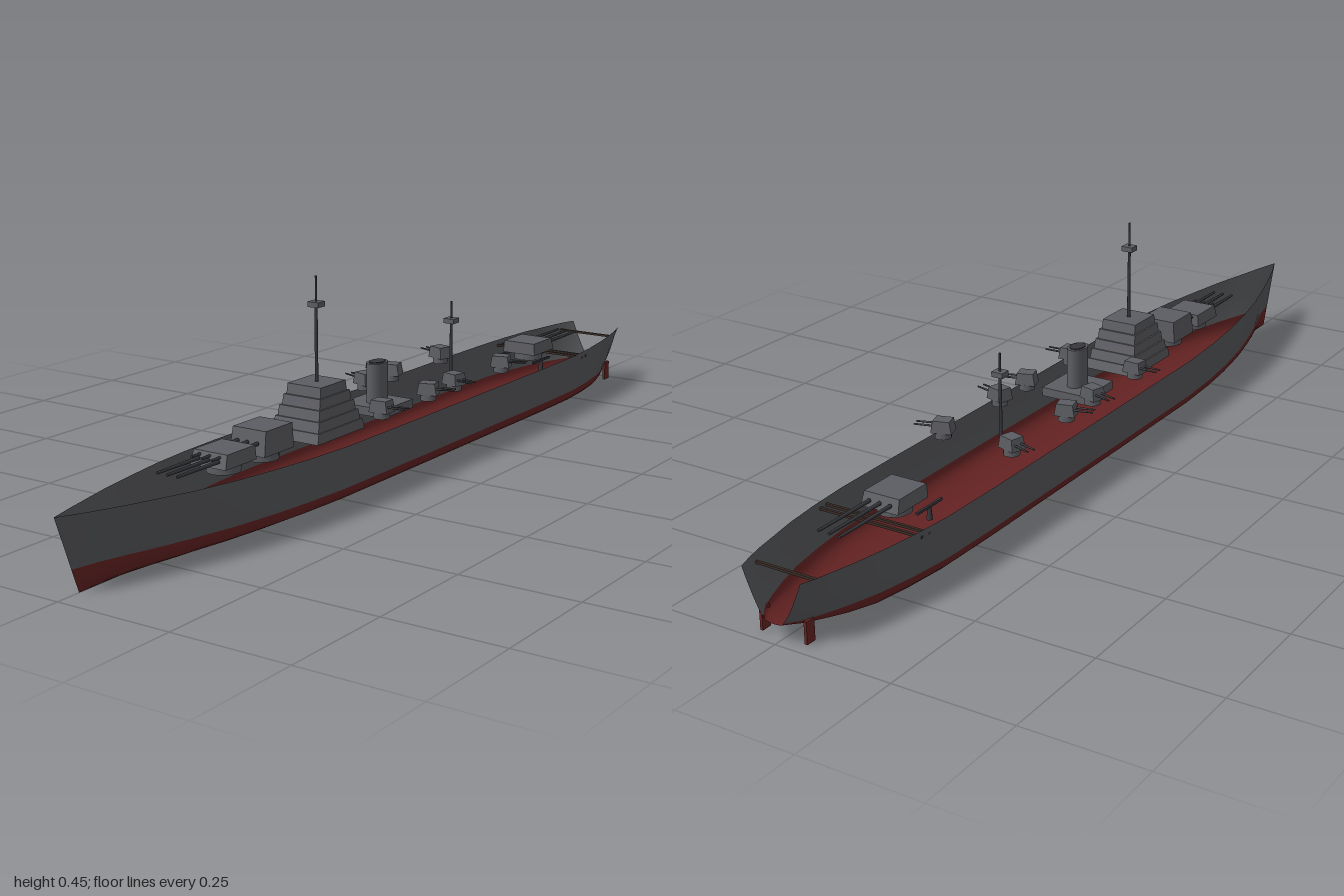
import * as THREE from 'three';

const mat = (name, color, side = THREE.FrontSide) => {
  const m = new THREE.MeshStandardMaterial({ color, side });
  m.name = name;
  return m;
};

export function createModel() {
  const ship = new THREE.Group();
  ship.name = 'warship';
  const hullGrey = mat('hull grey', 0x58595c, THREE.DoubleSide);
  const hullRed = mat('hull red', 0x662323, THREE.DoubleSide);
  const grey = mat('superstructure grey', 0x5c5d62);
  const dark = mat('gun dark grey', 0x36373c);
  const brown = mat('beam brown', 0x3a2c26);

  const add = (parent, name, geo, material, x = 0, y = 0, z = 0) => {
    const m = new THREE.Mesh(geo, material);
    m.name = name;
    m.position.set(x, y, z);
    parent.add(m);
    return m;
  };
  const box = (p, name, m, w, h, d, x, y, z) => add(p, name, new THREE.BoxGeometry(w, h, d), m, x, y, z);
  const group = (name, x, y, z) => {
    const g = new THREE.Group();
    g.name = name;
    g.position.set(x, y, z);
    ship.add(g);
    return g;
  };
  // Box whose top is smaller than its base, standing on y = 0
  const taperedBox = (w, h, d, topX, topZ, shiftZ = 0) => {
    const g = new THREE.BoxGeometry(w, h, d).translate(0, h / 2, 0);
    const p = g.attributes.position;
    for (let i = 0; i < p.count; i++) {
      if (p.getY(i) > 0) p.setXYZ(i, p.getX(i) * topX, h, p.getZ(i) * topZ + shiftZ);
    }
    g.computeVertexNormals();
    return g;
  };

  // Hull stations: z, deck half-width, deck height, waterline half-width, keel height
  const WATER = 0.05;
  const stations = [
    [-1, 0.065, 0.138, 0.022, 0.043], [-0.97, 0.075, 0.138, 0.045, 0.036], [-0.93, 0.085, 0.138, 0.062, 0.026],
    [-0.88, 0.095, 0.137, 0.08, 0.014], [-0.82, 0.106, 0.137, 0.097, 0.004], [-0.74, 0.116, 0.136, 0.111, 0.003],
    [-0.65, 0.123, 0.135, 0.121, 0.003], [-0.5, 0.125, 0.135, 0.124, 0.003], [0, 0.125, 0.135, 0.124, 0.003],
    [0.3, 0.125, 0.136, 0.123, 0.003], [0.42, 0.12, 0.138, 0.116, 0.003], [0.52, 0.112, 0.14, 0.105, 0.003],
    [0.62, 0.099, 0.142, 0.089, 0.003], [0.72, 0.08, 0.144, 0.066, 0.003], [0.8, 0.061, 0.147, 0.045, 0.003],
    [0.87, 0.042, 0.149, 0.027, 0.003], [0.94, 0.021, 0.152, 0.011, 0.003], [1, 0, 0.155, 0, 0.003]];
  const rake = (z, y) => z - 0.055 * (1 - y / 0.155) * THREE.MathUtils.smoothstep(z, 0.75, 1);
  const loft = (rows) => {
    const n = rows[0].length, idx = [];
    for (let i = 0; i < rows.length - 1; i++) {
      for (let j = 0; j < n - 1; j++) {
        const a = i * n + j, b = a + n;
        idx.push(a, b, a + 1, b, b + 1, a + 1);
      }
    }
    const g = new THREE.BufferGeometry();
    g.setAttribute('position', new THREE.Float32BufferAttribute(rows.flat(2), 3));
    g.setIndex(idx);
    g.computeVertexNormals();
    return g;
  };
  const topside = (side) => stations.map(([z, dw, dy, ww]) => {
    const row = [];
    for (let j = 0; j <= 6; j++) {
      const u = side > 0 ? 1 - j / 6 : j / 6;
      const y = WATER + (dy - WATER) * u;
      row.push([side * (ww + (dw - ww) * Math.pow(u, 0.8)), y, rake(z, y)]);
    }
    return row;
  });
  add(ship, 'leftHullSide', loft(topside(1)), hullGrey);
  add(ship, 'rightHullSide', loft(topside(-1)), hullGrey);
  const bilge = [[1, 1], [0.985, 0.8], [0.95, 0.62], [0.88, 0.46], [0.76, 0.32], [0.6, 0.21], [0.35, 0.1], [0, 0]];
  const sweep = [...bilge, ...bilge.slice(0, -1).reverse().map(([x, y]) => [-x, y])];
  add(ship, 'hullBottom', loft(stations.map(([z, , , ww, ky]) => sweep.map(([fx, fy]) => {
    const y = ky + (WATER - ky) * fy;
    return [fx * ww, y, rake(z, y)];
  }))), hullRed);

  // Rudders under the stern
  for (const s of [-1, 1]) box(ship, 'rudder', hullRed, 0.006, 0.045, 0.022, s * 0.05, 0.028, -0.965);

  // Cross beams between the hull sides, aft
  for (const [z, w] of [[-0.7, 0.238], [-0.72, 0.236], [-0.95, 0.15]]) {
    box(ship, 'crossBeam', brown, w, 0.005, 0.006, 0, 0.122, z);
  }

  // Main turrets with three barrels each
  const mainTurret = (name, y, z, h, length, dir) => {
    const g = group(name, 0, y, z);
    g.rotation.y = dir > 0 ? 0 : Math.PI;
    add(g, 'turretHouse', taperedBox(0.086, h, 0.095, 0.94, 0.9, -0.004), grey);
    add(g, 'turretRing', new THREE.CylinderGeometry(0.034, 0.034, 0.02, 20), grey, 0, -0.008, 0);
    for (const x of [-0.024, 0, 0.024]) {
      const b = add(g, 'mainBarrel', new THREE.CylinderGeometry(0.0028, 0.0042, length, 10), dark,
        x, h * 0.5, 0.045 + length / 2);
      b.rotation.x = Math.PI / 2;
    }
  };
  mainTurret('forwardTurret', 0.142, 0.54, 0.028, 0.12, 1);
  mainTurret('raisedTurret', 0.138, 0.42, 0.05, 0.14, 1);
  mainTurret('aftTurret', 0.135, -0.645, 0.028, 0.15, -1);

  // Stepped bridge tower
  const bridge = group('bridge', 0, 0.13, 0.235);
  for (let i = 0; i < 5; i++) {
    const h = 0.0214;
    add(bridge, 'bridgeTier', taperedBox(0.122 - i * 0.0095, h, 0.165 - i * 0.018, 0.98, 0.93), grey, 0, i * h, 0);
  }

  // Masts with lookout platforms
  const mast = (name, z, y0, y1, platformY) => {
    const g = group(name, 0, 0, z);
    const pole = (a, b, r) => add(g, 'pole', new THREE.CylinderGeometry(r * 0.85, r, b - a, 10), dark, 0, (a + b) / 2, 0);
    pole(y0, platformY, 0.0038);
    pole(platformY, y1, 0.0026);
    box(g, 'lookoutPlatform', grey, 0.026, 0.011, 0.024, 0, platformY, 0);
  };
  mast('foreMast', 0.235, 0.235, 0.455, 0.397);
  mast('aftMast', -0.285, 0.14, 0.316, 0.272);

  // Funnel on its deckhouse
  const funnel = group('funnel', 0, 0.13, 0.015);
  box(funnel, 'funnelHouse', grey, 0.11, 0.019, 0.112, 0, 0.0095, 0);
  const stack = new THREE.CylinderGeometry(0.02, 0.02, 0.087, 24).scale(1, 1, 1.45);
  add(funnel, 'stack', stack, grey, 0, 0.0615, 0);
  add(funnel, 'stackOpening', new THREE.CylinderGeometry(0.015, 0.015, 0.002, 24).scale(1, 1, 1.45), dark, 0, 0.106, 0);

  // Twin secondary guns along both sides
  for (const [z, turn] of [[0.12, 0.05], [-0.06, 0.3], [-0.165, -0.25], [-0.37, 0.3]]) {
    for (const s of [-1, 1]) {
      const g = group(s > 0 ? 'leftSecondaryGun' : 'rightSecondaryGun', s * 0.082, 0.147, z);
      g.rotation.y = s > 0 ? turn : Math.PI - turn;
      add(g, 'gunBase', new THREE.CylinderGeometry(0.017, 0.017, 0.014, 16), grey, 0, 0.007, 0);
      const house = taperedBox(0.044, 0.026, 0.034, 0.8, 0.9);
      add(g, 'gunHouse', house, grey, 0, 0.013, 0);
      for (const dz of [-0.008, 0.008]) {
        const b = add(g, 'gunBarrel', new THREE.CylinderGeometry(0.0018, 0.0024, 0.042, 8), dark, 0.038, 0.026, dz);
        b.rotation.z = -Math.PI / 2;
      }
    }
  }

  // Light guns beside the aft turret
  for (const s of [-1, 1]) {
    const g = group('lightGun', s * 0.054, 0.11, -0.61);
    add(g, 'lightGunPost', new THREE.CylinderGeometry(0.004, 0.006, 0.026, 8), dark);
    box(g, 'lightGunBarrel', dark, 0.005, 0.005, 0.08, 0, 0.014, 0);
  }
  return ship;
}
